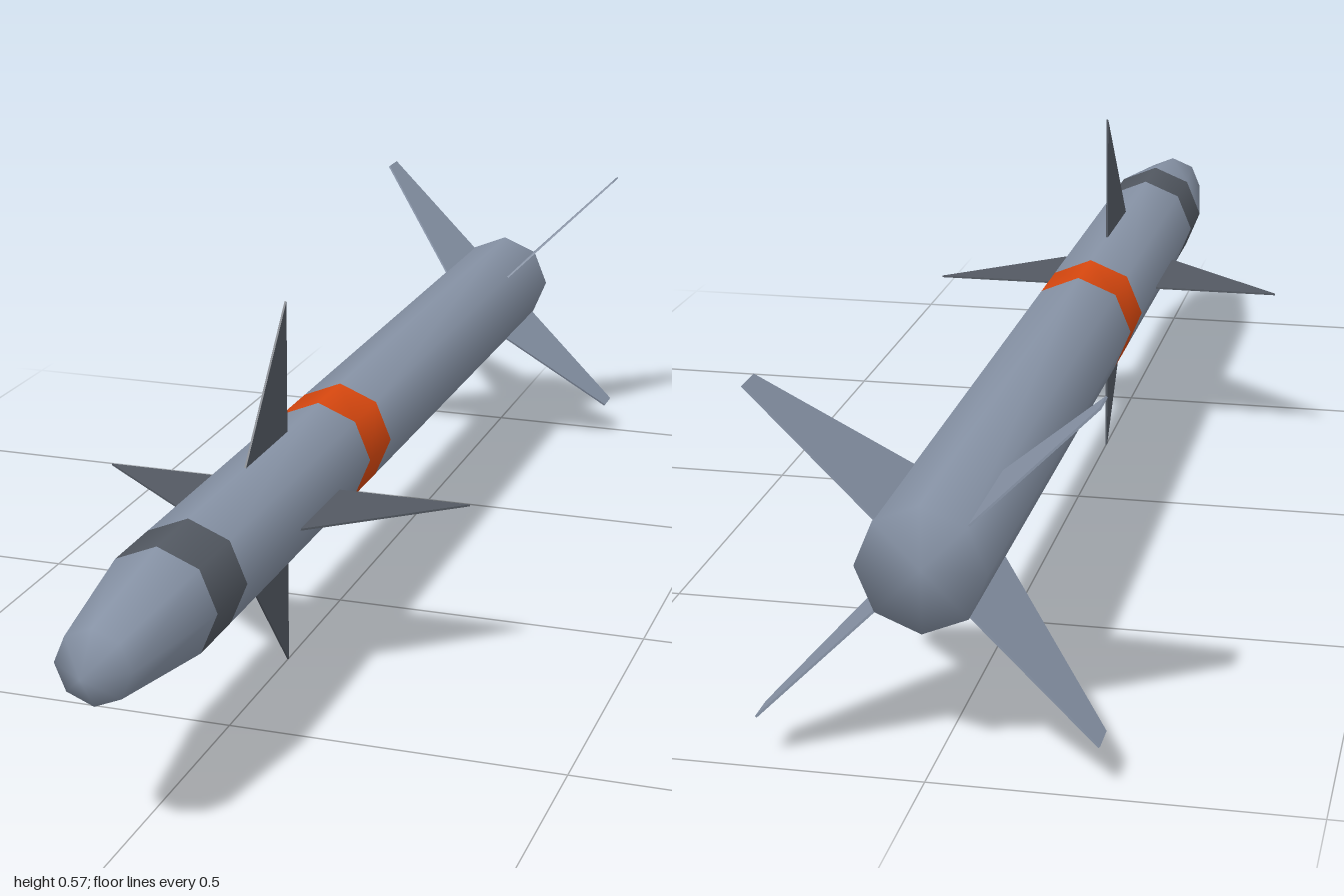
import * as THREE from 'three';
import { mergeVertices } from 'three/addons/utils/BufferGeometryUtils.js';

const SIDES = 8;
const RADIUS = 0.084;
const AXIS_Y = 0.284;

const mat = (name, color) => Object.assign(new THREE.MeshStandardMaterial({ color }), { name });

// Closed octagonal hull; bandMaterials gives one material index per profile step
function hullGeometry(profile, bandMaterials) {
  const n = profile.length;
  const geo = new THREE.LatheGeometry(profile.map(([r, z]) => new THREE.Vector2(r, z)), SIDES);
  const index = [];
  bandMaterials.forEach((m, j) => {
    const start = index.length;
    for (let i = 0; i < SIDES; i++) {
      const a = i * n + j, b = a + n, c = b + 1, d = a + 1;
      if (profile[j][0] > 0) index.push(a, b, d);
      if (profile[j + 1][0] > 0) index.push(c, d, b);
    }
    geo.addGroup(start, index.length - start, m);
  });
  geo.setIndex(index);
  geo.deleteAttribute('uv');
  geo.deleteAttribute('normal');
  const smooth = mergeVertices(geo, 1e-4);
  smooth.computeVertexNormals();
  return smooth.rotateX(Math.PI / 2);
}

// Thin fin from an outline of (radius, z) points
function finGeometry(outline, thickness) {
  const shape = new THREE.Shape(outline.map(([r, z]) => new THREE.Vector2(r, z)));
  return new THREE.ExtrudeGeometry(shape, { depth: thickness, bevelEnabled: false })
    .translate(0, 0, -thickness / 2)
    .rotateX(Math.PI / 2);
}

// Four fins evenly spaced around the hull
function finSet(name, geometry, material, startAngle) {
  const set = new THREE.Group();
  set.name = name + 's';
  for (let i = 0; i < 4; i++) {
    const fin = new THREE.Mesh(geometry, material);
    fin.name = name;
    fin.rotation.z = startAngle + i * Math.PI / 2;
    set.add(fin);
  }
  return set;
}

export function createModel() {
  const grey = mat('bodyGrey', 0x8793a6);
  const dark = mat('darkGrey', 0x535962);
  const orange = mat('bandOrange', 0xd9480f);

  const model = new THREE.Group();
  model.name = 'missile';
  const assembly = new THREE.Group();
  assembly.name = 'airframe';
  assembly.position.y = AXIS_Y;
  model.add(assembly);

  // Hull from flat tail to blunt nose, with the two painted bands
  const profile = [
    [0, -1], [RADIUS, -1], [RADIUS, 0], [RADIUS, 0.105], [RADIUS, 0.64],
    [RADIUS, 0.75], [0.053, 0.96], [0, 1],
  ];
  const hull = new THREE.Mesh(hullGeometry(profile, [0, 0, 2, 0, 1, 0, 0]), [grey, dark, orange]);
  hull.name = 'hull';
  assembly.add(hull);

  // Triangular control fins, upright cross
  const control = finGeometry([[0.076, 0.25], [0.284, 0.25], [0.076, 0.43]], 0.003);
  assembly.add(finSet('controlFin', control, dark, 0));

  // Swept tail fins, diagonal cross
  const tail = finGeometry([[0.076, -0.992], [0.31, -0.992], [0.31, -0.948], [0.076, -0.795]], 0.003);
  assembly.add(finSet('tailFin', tail, grey, Math.PI / 4));

  return model;
}
